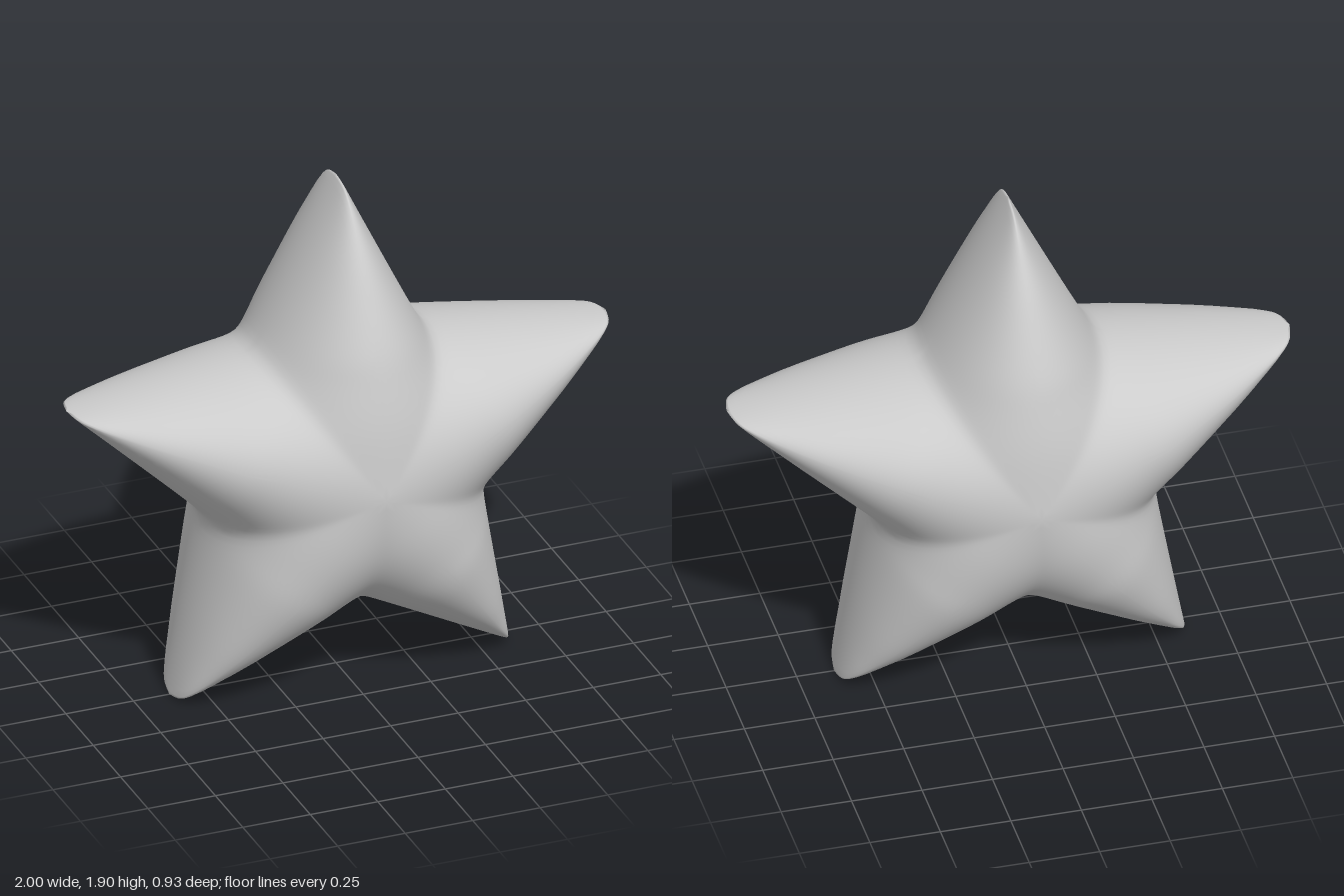
import * as THREE from 'three';
import { mergeVertices } from 'three/addons/utils/BufferGeometryUtils.js';

const TIP = 1.05;        // centre to arm tip
const CENTRE_Y = 0.86;
const SECTOR = Math.PI / 5;
const SOFT = THREE.MathUtils.degToRad(4); // rounding of the valleys between arms
const SLOPE = 2.09;      // arm length lost per unit of half-width

// Half-thickness along the spine of an arm, from the centre to the tip
const spine = new THREE.SplineCurve([
  [0, 0.463], [0.24, 0.438], [0.42, 0.4], [0.54, 0.365], [0.76, 0.265],
  [0.9, 0.185], [0.98, 0.13], [1.03, 0.075], [TIP, 0],
].map(([s, d]) => new THREE.Vector2(s, d))).getPoints(240);

function depthAt(s) {
  const i = spine.findIndex((p) => p.x >= s);
  if (i < 0) return 0;
  if (i === 0) return spine[0].y;
  const a = spine[i - 1], b = spine[i];
  return THREE.MathUtils.mapLinear(s, a.x, b.x, a.y, b.y);
}

// Angle away from the arm's axis, eased so that it turns smoothly at the valley
function easedAngle(a) {
  return Math.hypot(SECTOR, SOFT) - Math.hypot(SECTOR - a, SOFT);
}

function starGeometry(side = 20, rings = 28) {
  // Columns run around the star, packed closer near the arm tips
  const columns = [];
  for (let arm = 0; arm < 5; arm++) {
    for (let j = -side; j < side; j++) {
      const off = SECTOR * Math.pow(Math.abs(j) / side, 1.6);
      columns.push({ angle: Math.PI / 2 + arm * 2 * SECTOR + Math.sign(j) * off, phi: easedAngle(off) });
    }
  }
  const positions = [], index = [];
  const n = columns.length;
  for (const face of [1, -1]) {
    const base = positions.length / 3;
    for (let i = 0; i <= rings; i++) {
      const t = Math.sin((i / rings) * Math.PI / 2);
      for (const { angle, phi } of columns) {
        const r = t * TIP / (Math.cos(phi) + SLOPE * Math.sin(phi));
        const s = r * Math.cos(phi), u = r * Math.sin(phi);
        // Elliptical section across the arm
        const q = u * SLOPE / Math.max(TIP - s, 1e-6);
        const z = i === rings ? 0 : depthAt(s) * Math.sqrt(Math.max(0, 1 - q * q));
        positions.push(r * Math.cos(angle), r * Math.sin(angle), face * z);
      }
    }
    for (let i = 0; i < rings; i++) {
      for (let j = 0; j < n; j++) {
        const k = (j + 1) % n;
        const a = base + i * n + j, b = base + i * n + k;
        const c = a + n, d = b + n;
        const tris = i === 0 ? [[a, c, d]] : [[a, c, d], [a, d, b]];
        for (const [p, q, r] of tris) index.push(...(face > 0 ? [p, q, r] : [p, r, q]));
      }
    }
  }
  const raw = new THREE.BufferGeometry();
  raw.setAttribute('position', new THREE.Float32BufferAttribute(positions, 3));
  raw.setIndex(index);
  // Weld the centre and the rim so the shading is smooth all round
  const geometry = mergeVertices(raw, 1e-5);
  geometry.computeVertexNormals();
  return geometry;
}

export function createModel() {
  const group = new THREE.Group();
  group.name = 'puffyStar';
  const star = new THREE.Mesh(starGeometry(), new THREE.MeshStandardMaterial({ color: 0xcccccc }));
  star.name = 'starBody';
  star.position.y = CENTRE_Y;
  star.geometry.computeBoundingBox();
  star.position.y = -star.geometry.boundingBox.min.y;
  group.add(star);
  return group;
}
